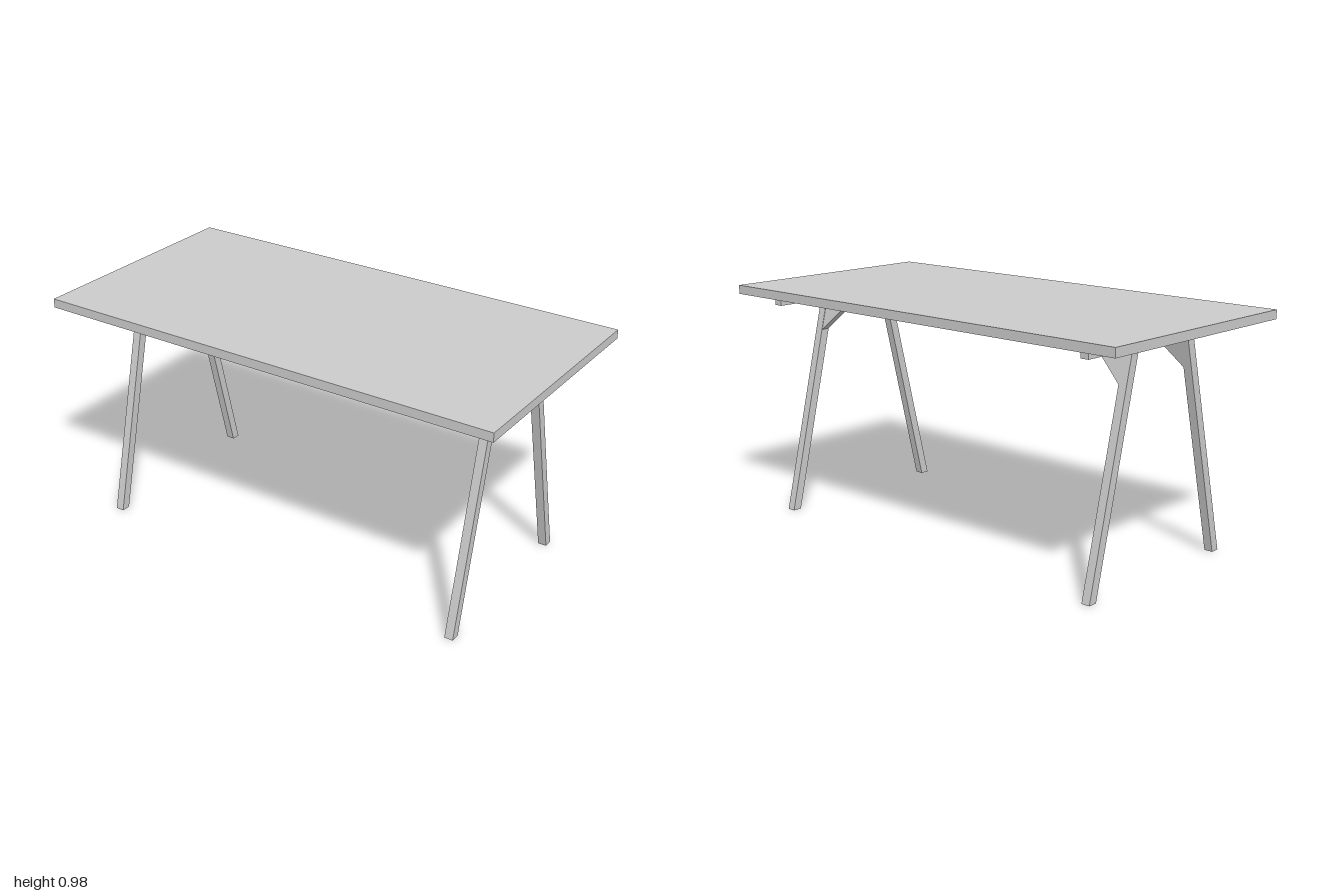
import * as THREE from 'three';

const TOP = 0.977, UNDER = 0.94, FRAME = 0.903; // table top, its underside, bottom of the frame
const INNER = 0.802, THICK = 0.036;             // inner face and width of the legs

export function createModel() {
  const group = new THREE.Group();
  const material = new THREE.MeshStandardMaterial({ color: 0xcccccc, flatShading: true });

  const add = (name, geometry, x = 0, y = 0, z = 0) => {
    const mesh = new THREE.Mesh(geometry, material);
    mesh.name = name;
    mesh.position.set(x, y, z);
    group.add(mesh);
  };

  // Lean a part outwards: its z follows the slope of the leg from top to foot
  const lean = (geometry, side) => {
    const p = geometry.attributes.position;
    for (let i = 0; i < p.count; i++) {
      const t = p.getY(i) / FRAME;
      p.setZ(i, p.getZ(i) + side * THREE.MathUtils.lerp(0.39, 0.169, t));
    }
    geometry.computeVertexNormals();
    return geometry;
  };

  // Table top
  add('tableTop', new THREE.BoxGeometry(2, TOP - UNDER, 1), 0, (TOP + UNDER) / 2, 0);

  const frameY = (FRAME + UNDER) / 2, frameH = UNDER - FRAME;
  const legX = INNER + THICK / 2;

  // Cross bars under each end
  for (const sx of [-1, 1]) {
    add('crossBar', new THREE.BoxGeometry(THICK, frameH, 0.875), sx * legX, frameY, 0);
  }

  for (const sz of [-1, 1]) {
    // Long rail joining the two ends
    add('longRail', new THREE.BoxGeometry(INNER * 2, frameH, 0.037), 0, frameY, sz * 0.168);

    for (const sx of [-1, 1]) {
      // Slanted leg with level ends
      const leg = new THREE.BoxGeometry(THICK, FRAME, 0.038).translate(0, FRAME / 2, 0);
      add('leg', lean(leg, sz), sx * legX);

      // Corner brace between leg and rail
      const shape = new THREE.Shape([
        [INNER, 0.773], [INNER, FRAME], [0.676, FRAME], [0.676, 0.888],
      ].map(([x, y]) => new THREE.Vector2(sx * x, y)));
      const brace = new THREE.ExtrudeGeometry(shape, { depth: 0.034, bevelEnabled: false });
      add('cornerBrace', lean(brace.translate(0, 0, -0.017), sz));
    }
  }
  return group;
}
